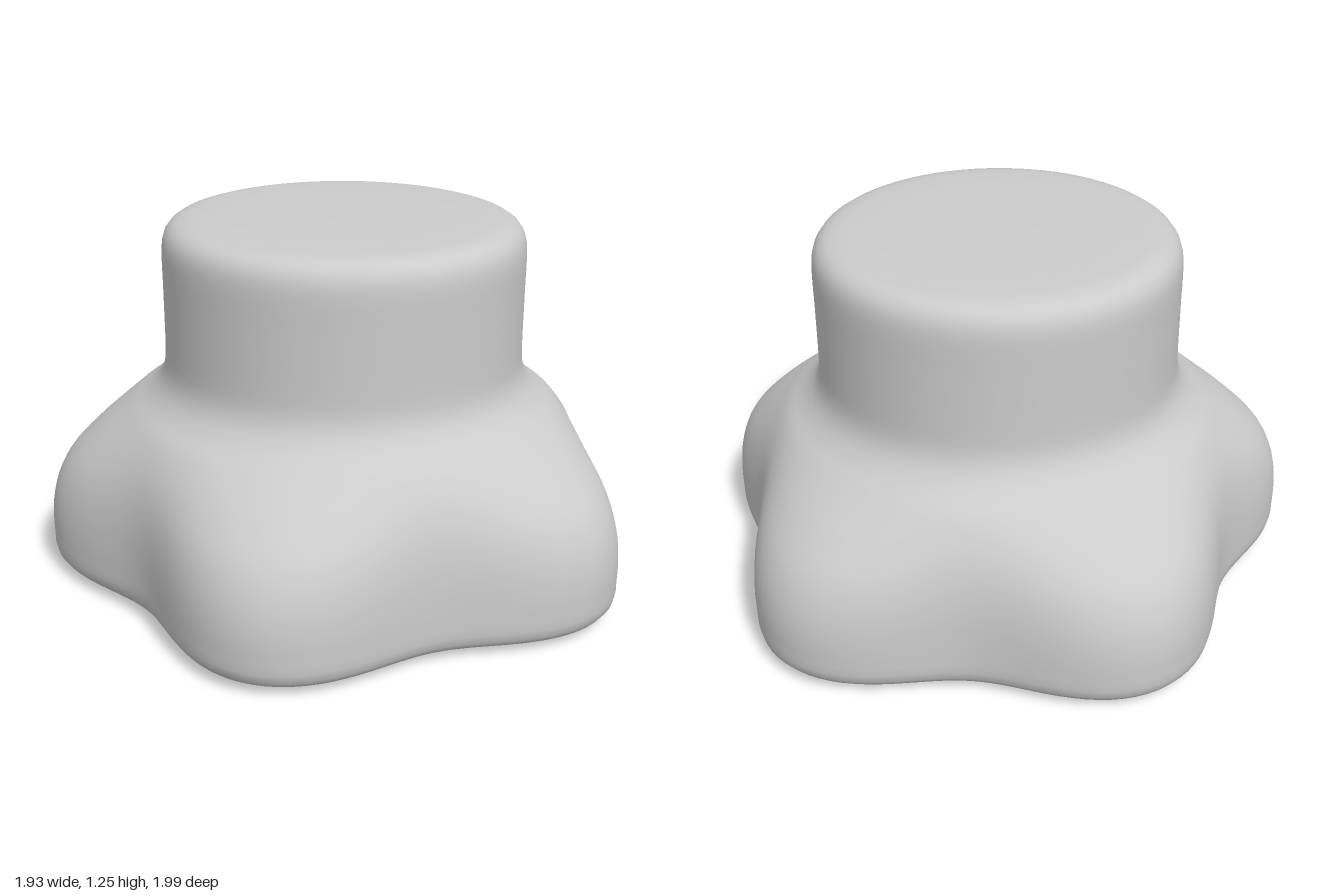
import * as THREE from 'three';

// Five-lobed knob: each ring swings between a lobe radius and a valley radius.
const LOBES = 5, SEGMENTS = 160, STEPS = 120, CENTRE_X = 0.06;

// [lobe radius, height, valley radius], from the underside centre to the top centre
const PROFILE = [
  [0, 0, 0], [0.5, 0.003, 0.41], [0.85, 0.011, 0.7], [0.96, 0.02, 0.79],
  [1.005, 0.034, 0.828], [1.027, 0.065, 0.847], [1.03, 0.12, 0.85],
  [1.03, 0.2, 0.85], [1.012, 0.3, 0.846], [0.965, 0.4, 0.832],
  [0.87, 0.5, 0.8], [0.74, 0.6, 0.735], [0.672, 0.65, 0.672],
  [0.63, 0.7, 0.63], [0.613, 0.75, 0.613], [0.61, 0.8, 0.61],
  [0.61, 1.0, 0.61], [0.61, 1.15, 0.61], [0.603, 1.19, 0.603],
  [0.58, 1.222, 0.58], [0.54, 1.238, 0.54], [0.46, 1.245, 0.46],
  [0.25, 1.249, 0.25], [0, 1.25, 0],
];

function knobGeometry() {
  const curve = new THREE.CatmullRomCurve3(PROFILE.map(p => new THREE.Vector3(...p)));
  const positions = [], indices = [];
  for (let i = 0; i <= STEPS; i++) {
    const p = curve.getPointAt(i / STEPS);
    const mean = (p.x + p.z) / 2, swing = (p.x - p.z) / 2;
    for (let j = 0; j < SEGMENTS; j++) {
      const a = (j / SEGMENTS) * Math.PI * 2;
      const r = mean - swing * Math.cos(LOBES * a); // one lobe points to -x
      positions.push(CENTRE_X + r * Math.cos(a), p.y, r * Math.sin(a));
      if (i === STEPS) continue;
      const k = (j + 1) % SEGMENTS;
      const a0 = i * SEGMENTS + j, b0 = i * SEGMENTS + k;
      const a1 = a0 + SEGMENTS, b1 = b0 + SEGMENTS;
      indices.push(a0, a1, b0, b0, a1, b1);
    }
  }
  const geometry = new THREE.BufferGeometry();
  geometry.setAttribute('position', new THREE.Float32BufferAttribute(positions, 3));
  geometry.setIndex(indices);
  geometry.computeVertexNormals();
  return geometry;
}

export function createModel() {
  const group = new THREE.Group();
  group.name = 'lobedKnob';
  // Lobed grip, neck and rounded cap in one smooth skin
  const knob = new THREE.Mesh(knobGeometry(), new THREE.MeshStandardMaterial({ color: 0xcccccc }));
  knob.name = 'knobBody';
  group.add(knob);
  return group;
}
